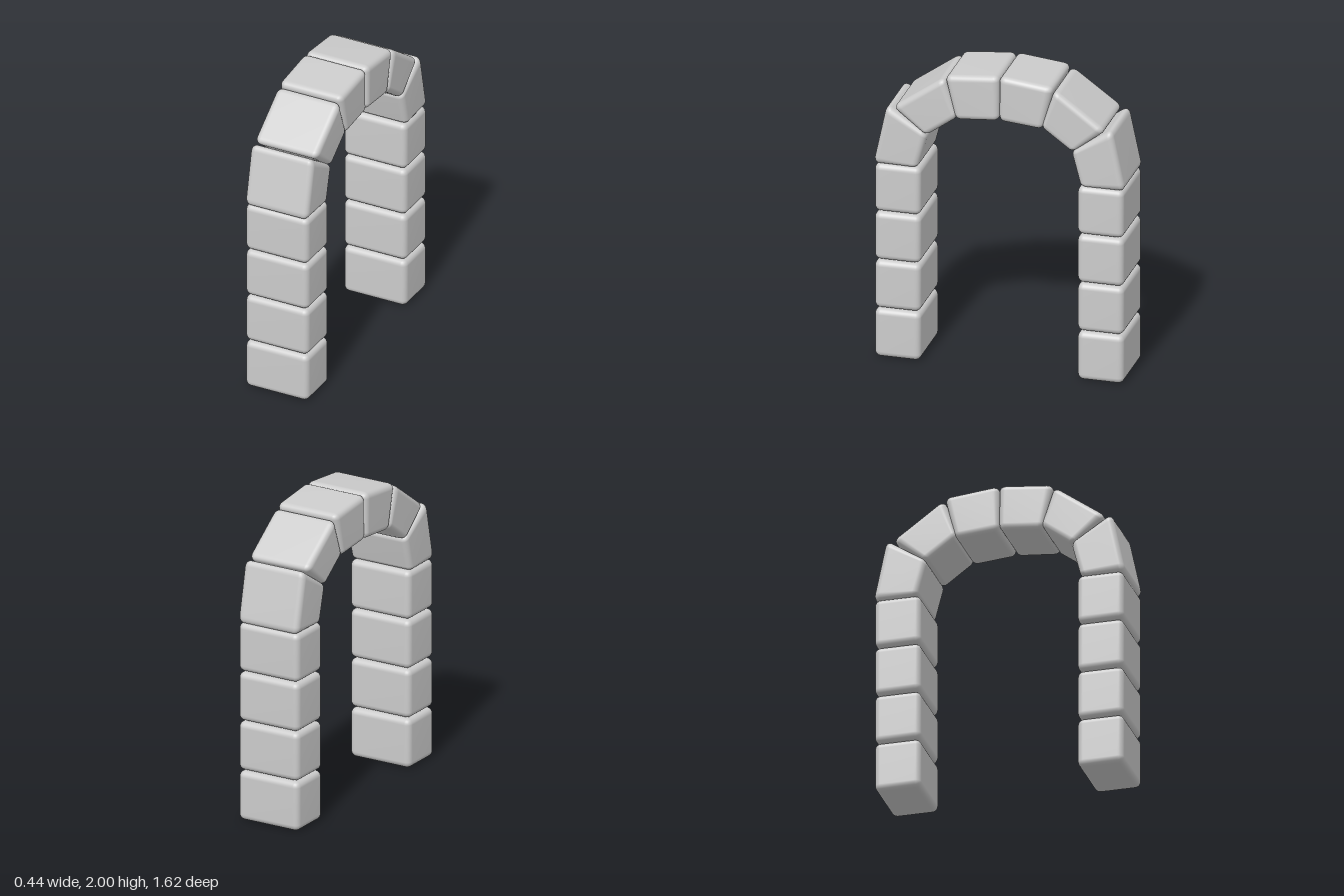
import * as THREE from 'three';
import { RoundedBoxGeometry } from 'three/addons/geometries/RoundedBoxGeometry.js';
import { mergeVertices } from 'three/addons/utils/BufferGeometryUtils.js';

const WIDTH = 0.444;
const RADIUS = 0.04;
const material = new THREE.MeshStandardMaterial({ color: 0xcccccc });

// Rounded block whose side outline is a quad of [z, y] corners:
// outer bottom, outer top, inner top, inner bottom. side = +1 front, -1 back.
function stone(name, [ob, ot, it, ib], side) {
  const len = (a, b) => Math.hypot(a[0] - b[0], a[1] - b[1]);
  const h = (len(ob, ot) + len(ib, it)) / 2;
  const d = (len(ob, ib) + len(ot, it)) / 2;
  const box = new RoundedBoxGeometry(WIDTH, h, d, 3, RADIUS);
  box.deleteAttribute('normal');
  box.deleteAttribute('uv');
  const geometry = mergeVertices(box, 1e-4);
  const p = geometry.attributes.position;
  for (let i = 0; i < p.count; i++) {
    const u = 0.5 + side * p.getZ(i) / d;
    const v = 0.5 + p.getY(i) / h;
    const mix = (k) => (1 - v) * ((1 - u) * ib[k] + u * ob[k]) + v * ((1 - u) * it[k] + u * ot[k]);
    p.setXYZ(i, p.getX(i), mix(1), side * mix(0));
  }
  geometry.computeVertexNormals();
  const mesh = new THREE.Mesh(geometry, material);
  mesh.name = name;
  return mesh;
}

export function createModel() {
  const arch = new THREE.Group();
  arch.name = 'stoneArch';

  // Wedge stones of one half of the arch, from the pillar up to the crown
  const wedges = [
    [[0.82, 1.315], [0.733, 1.725], [0.468, 1.55], [0.53, 1.315]],
    [[0.695, 1.713], [0.358, 1.955], [0.272, 1.69], [0.475, 1.543]],
    [[0.355, 1.968], [0.0, 2.005], [0.0, 1.7], [0.283, 1.675]],
  ];

  for (const side of [1, -1]) {
    const half = new THREE.Group();
    half.name = side > 0 ? 'frontHalf' : 'backHalf';
    // Four pillar blocks
    for (let i = 0; i < 4; i++) {
      const y0 = i * 0.33 + (i ? 0.003 : 0);
      const y1 = (i + 1) * 0.33 - 0.003;
      half.add(stone('pillarBlock' + (i + 1), [[0.81, y0], [0.81, y1], [0.51, y1], [0.51, y0]], side));
    }
    wedges.forEach((quad, i) => half.add(stone('archStone' + (i + 1), quad, side)));
    arch.add(half);
  }
  return arch;
}
